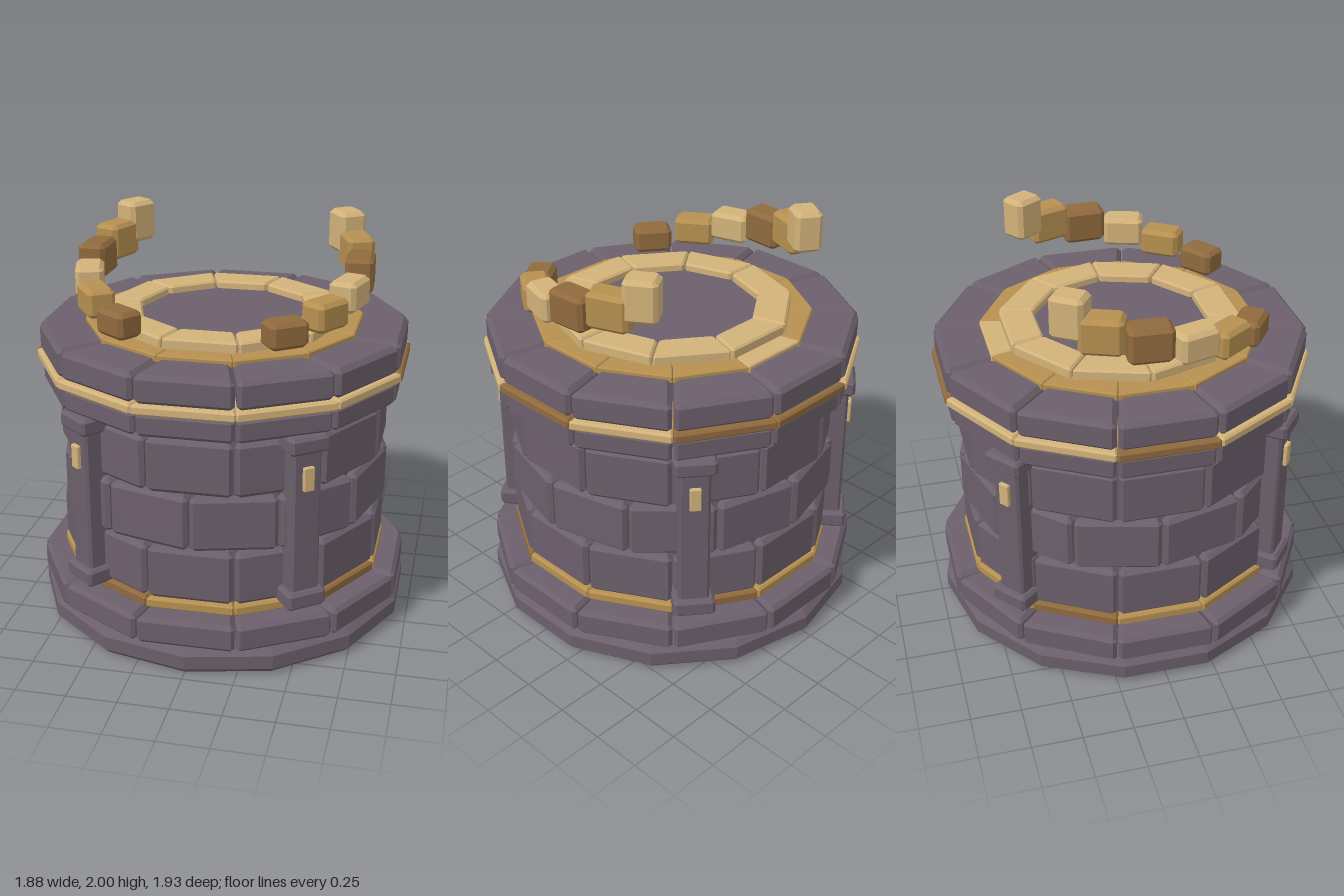
import * as THREE from 'three';

const mat = (name, color) => {
  const m = new THREE.MeshStandardMaterial({ color });
  m.name = name;
  return m;
};

// Prism from a plan outline of [x, z] points, with chamfered corners and edges
function prism(points, y0, y1, bevel, cut = bevel) {
  const v = points.map(([x, z]) => new THREE.Vector2(x, -z));
  const outline = [];
  v.forEach((p, i) => {
    if (!cut) return outline.push(p);
    for (const q of [v[(i + v.length - 1) % v.length], v[(i + 1) % v.length]]) {
      outline.push(p.clone().add(q.clone().sub(p).setLength(cut)));
    }
  });
  const geo = new THREE.ExtrudeGeometry(new THREE.Shape(outline), {
    depth: y1 - y0 - 2 * bevel, bevelEnabled: true, bevelSegments: 1,
    bevelThickness: bevel, bevelSize: bevel, bevelOffset: -bevel,
  });
  return geo.rotateX(-Math.PI / 2).translate(0, y0 + bevel, 0);
}

const rect = (w, d, z = 0) => [[-w / 2, z - d / 2], [w / 2, z - d / 2], [w / 2, z + d / 2], [-w / 2, z + d / 2]];

export function createModel() {
  const stone = mat('stone', 0x6b5f6b);
  const lightGold = mat('lightGold', 0xd2b27a);
  const gold = mat('gold', 0xb69050);
  const bronze = mat('bronze', 0x906a3e);

  const model = new THREE.Group();
  model.name = 'stoneWell';

  const add = (parent, name, geo, material) => {
    const mesh = new THREE.Mesh(geo, material);
    mesh.name = name;
    parent.add(mesh);
    return mesh;
  };
  const group = (name) => {
    const g = new THREE.Group();
    g.name = name;
    model.add(g);
    return g;
  };

  // Ring of n wedge blocks; rIn and rOut are distances to the flat faces
  function ring(name, { n = 12, rIn, rOut, y0, y1, bevel = 0.015, gap = 0.004, turn = 0, pick }) {
    const g = group(name);
    const t = Math.tan(Math.PI / n);
    const a = rIn * t - gap, b = rOut * t - gap;
    const geo = prism([[-a, rIn], [a, rIn], [b, rOut], [-b, rOut]], y0, y1, bevel);
    for (let i = 0; i < n; i++) {
      add(g, name + 'Block', geo, pick(i)).rotation.y = ((i + turn) * 2 * Math.PI) / n;
    }
  }
  const allStone = () => stone;

  // Plinth
  const plinth = [];
  for (let i = 0; i < 14; i++) {
    const a = (i * Math.PI) / 7;
    plinth.push([0.965 * Math.sin(a), 0.965 * Math.cos(a)]);
  }
  add(model, 'plinth', prism(plinth, 0, 0.13, 0.03, 0), stone);
  ring('footing', { rIn: 0.6, rOut: 0.935, y0: 0.13, y1: 0.27, bevel: 0.02, pick: allStone });
  ring('lowerBand', { rIn: 0.6, rOut: 0.825, y0: 0.265, y1: 0.32, bevel: 0.01, gap: 0.001,
    pick: (i) => (i % 3 === 2 ? bronze : gold) });

  // Core behind the bricks
  const core = new THREE.CylinderGeometry(0.79, 0.79, 1.08, 24).toNonIndexed();
  core.computeVertexNormals();
  add(model, 'core', core.translate(0, 0.74, 0), stone);

  // Brick courses, the middle one staggered
  [[0.32, 0.595, 0], [0.6, 0.88, 0.5], [0.885, 1.16, 0]].forEach(([y0, y1, turn]) =>
    ring('brickCourse', { rIn: 0.65, rOut: 0.82, y0, y1, turn, bevel: 0.022, pick: allStone }));

  // Rim
  ring('lowerRim', { rIn: 0.6, rOut: 0.895, y0: 1.195, y1: 1.31, bevel: 0.018, pick: allStone });
  ring('upperBand', { rIn: 0.6, rOut: 0.922, y0: 1.31, y1: 1.36, bevel: 0.01, gap: 0.001,
    pick: (i) => ([3, 5, 6, 9].includes(i) ? bronze : lightGold) });
  ring('upperRim', { rIn: 0.58, rOut: 0.907, y0: 1.355, y1: 1.5, bevel: 0.022, pick: allStone });

  // Top rings and the floor inside them
  ring('outerTopRing', { rIn: 0.54, rOut: 0.68, y0: 1.48, y1: 1.52, bevel: 0.006, gap: 0.001,
    pick: (i) => (i === 6 ? lightGold : gold) });
  ring('innerTopRing', { n: 10, rIn: 0.415, rOut: 0.58, y0: 1.5, y1: 1.57, bevel: 0.01, pick: () => lightGold });
  const floor = new THREE.CylinderGeometry(0.56, 0.56, 0.26, 20).toNonIndexed();
  floor.computeVertexNormals();
  add(model, 'topFloor', floor.translate(0, 1.4, 0), stone);

  // Pillars with a small inlay
  const shaft = prism(rect(0.15, 0.18, 0.815), 0.36, 1.16, 0.012);
  const cap = prism(rect(0.205, 0.22, 0.825), 1.115, 1.2, 0.015);
  const foot = prism(rect(0.205, 0.22, 0.825), 0.31, 0.4, 0.015);
  const inlay = prism(rect(0.055, 0.03, 0.91), 0.925, 1.045, 0.004);
  for (const degrees of [37, 141.5, 219, -39.5]) {
    const pillar = group('pillar');
    add(pillar, 'pillarShaft', shaft, stone);
    add(pillar, 'pillarCap', cap, stone);
    add(pillar, 'pillarFoot', foot, stone);
    add(pillar, 'pillarInlay', inlay, lightGold);
    pillar.rotation.y = THREE.MathUtils.degToRad(degrees);
  }

  // Two mirrored arms of rising blocks: angle, bottom, top, length, colour
  const steps = [
    [36, 1.56, 1.69, 0.195, bronze],
    [56, 1.605, 1.745, 0.205, gold],
    [74, 1.65, 1.8, 0.205, lightGold],
    [93, 1.685, 1.86, 0.215, bronze],
    [111, 1.73, 1.91, 0.21, gold],
    [123.5, 1.79, 2.0, 0.165, lightGold],
  ];
  for (const side of [1, -1]) {
    const arm = group(side > 0 ? 'leftArm' : 'rightArm');
    for (const [degrees, y0, y1, length, material] of steps) {
      const block = add(arm, 'armBlock', prism(rect(length, 0.14, 0.672), y0, y1, 0.02), material);
      block.rotation.y = side * THREE.MathUtils.degToRad(degrees);
    }
  }
  return model;
}
